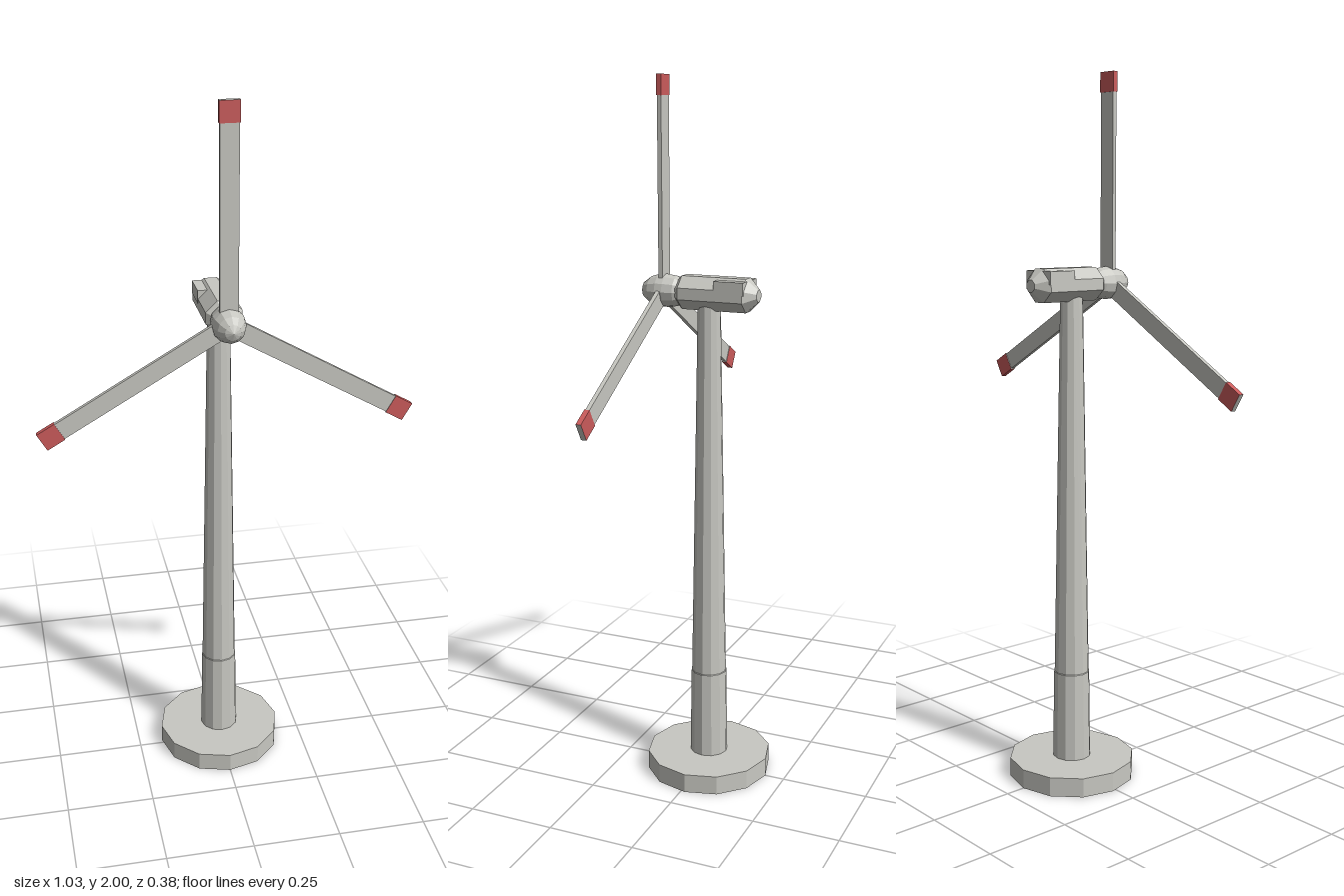
import * as THREE from 'three';

const HUB_Y = 1.423, HUB_Z = 0.123, AXIS_Z = -0.012;

// Octagonal section in XY, scaled about the nacelle axis
const SECTION = [[0.018, 0.046], [0.05, 0.016], [0.05, -0.016], [0.018, -0.046],
  [-0.018, -0.046], [-0.05, -0.016], [-0.05, 0.016], [-0.018, 0.046]];

// Closed hull through scaled copies of the section, listed back to front as [z, scale]
function loft(stations) {
  const n = SECTION.length, pos = [], index = [];
  stations.forEach(([z, s]) => SECTION.forEach(([x, y]) => pos.push(x * s, y * s, z)));
  for (let k = 0; k < stations.length - 1; k++) {
    for (let i = 0; i < n; i++) {
      const a = k * n + i, b = k * n + (i + 1) % n;
      index.push(a, a + n, b, b, a + n, b + n);
    }
  }
  const last = (stations.length - 1) * n;
  for (let i = 1; i < n - 1; i++) {
    index.push(0, i, i + 1);
    index.push(last, last + i + 1, last + i);
  }
  const g = new THREE.BufferGeometry();
  g.setAttribute('position', new THREE.Float32BufferAttribute(pos, 3));
  g.setIndex(index);
  const flat = g.toNonIndexed();
  flat.computeVertexNormals();
  return flat;
}

// Faceted solid of revolution
function lathe(points, sides) {
  const g = new THREE.LatheGeometry(points.map(([r, y]) => new THREE.Vector2(r, y)), sides).toNonIndexed();
  g.computeVertexNormals();
  return g;
}

export function createModel() {
  const model = new THREE.Group();
  model.name = 'windTurbine';
  const grey = new THREE.MeshStandardMaterial({ color: 0xc8c8c2 });
  grey.name = 'paleGrey';
  const red = new THREE.MeshStandardMaterial({ color: 0xcc5c5c });
  red.name = 'tipRed';

  const add = (name, geometry, material, x, y, z, parent = model) => {
    const mesh = new THREE.Mesh(geometry, material);
    mesh.name = name;
    mesh.position.set(x, y, z);
    parent.add(mesh);
    return mesh;
  };

  // Foundation disc
  const disc = new THREE.CylinderGeometry(0.181, 0.181, 0.055, 12).toNonIndexed();
  disc.computeVertexNormals();
  add('foundation', disc, grey, 0, 0.0275, AXIS_Z);

  // Tapered tower with a seam above the base section
  add('tower', lathe([[0, 0.05], [0.055, 0.05], [0.0515, 0.31], [0.05, 0.312],
    [0.032, 1.39], [0, 1.39]], 12), grey, 0, 0, AXIS_Z);

  // Nacelle with chamfered ends
  add('nacelle', loft([[-0.157, 0.36], [-0.126, 1], [0.062, 1], [0.076, 0.72]]),
    grey, 0, HUB_Y, 0);

  // Cooling housings on the rear shoulders
  for (const side of [1, -1]) {
    add(side > 0 ? 'leftHousing' : 'rightHousing', new THREE.BoxGeometry(0.034, 0.036, 0.086),
      grey, side * 0.034, 1.445, -0.087);
  }

  // Rotor: spinner and three blades
  const rotor = new THREE.Group();
  rotor.name = 'rotor';
  rotor.position.set(0, HUB_Y, HUB_Z);
  model.add(rotor);

  const spinner = add('spinner', lathe([[0, -0.058], [0.034, -0.056], [0.042, -0.04], [0.046, -0.01],
    [0.045, 0.012], [0.037, 0.038], [0.022, 0.058], [0, 0.067]], 12), grey, 0, 0, 0, rotor);
  spinner.rotation.x = Math.PI / 2;

  const bladeGeometry = new THREE.BoxGeometry(0.05, 0.55, 0.012);
  const tipGeometry = new THREE.BoxGeometry(0.054, 0.055, 0.015);
  const tipMaterials = [red, red, grey, grey, red, red];
  for (let i = 0; i < 3; i++) {
    const blade = new THREE.Group();
    blade.name = 'blade' + (i + 1);
    blade.rotation.z = i * Math.PI * 2 / 3;
    rotor.add(blade);
    add('bladeBody', bladeGeometry, grey, 0, 0.295, 0, blade);
    add('bladeTip', tipGeometry, tipMaterials, 0, 0.5495, 0, blade);
  }
  return model;
}
